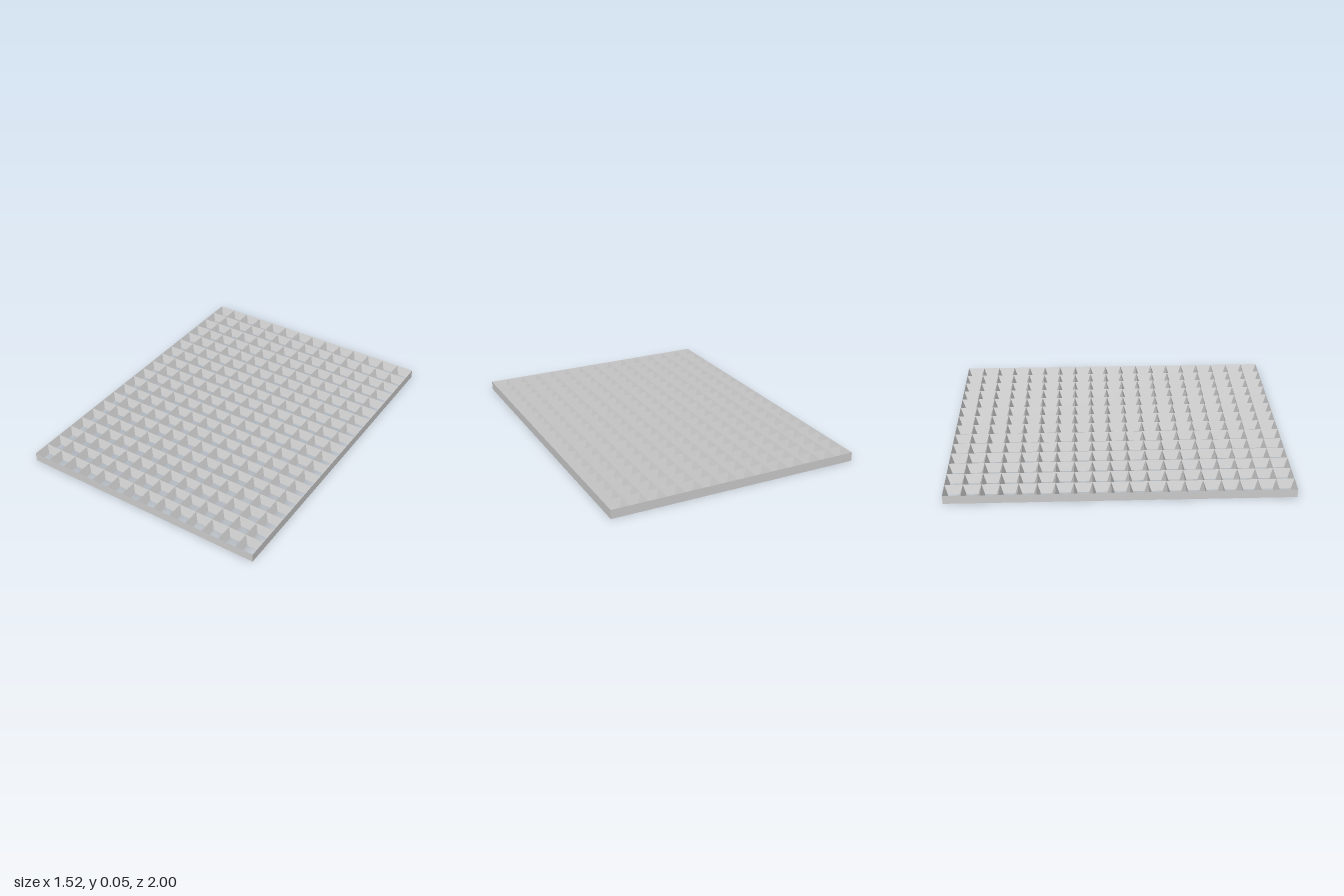
import * as THREE from 'three';

const COLS = 14, ROWS = 19;
const W = 1.518, D = 2, H = 0.053;
const HOLE = 0.033; // half width of the opening at the bottom

// Flat-shaded geometry from quads, corners counter-clockwise seen from outside
function quadGeometry(quads) {
  const pos = [];
  for (const [a, b, c, d] of quads) pos.push(...a, ...b, ...c, ...a, ...c, ...d);
  const g = new THREE.BufferGeometry();
  g.setAttribute('position', new THREE.Float32BufferAttribute(pos, 3));
  g.computeVertexNormals();
  return g;
}

// Corners of a horizontal rectangle, counter-clockwise seen from above
const ring = (cx, cz, hx, hz, y) => [
  [cx - hx, y, cz + hz], [cx + hx, y, cz + hz],
  [cx + hx, y, cz - hz], [cx - hx, y, cz - hz],
];

export function createModel() {
  const group = new THREE.Group();
  const material = new THREE.MeshStandardMaterial({ color: 0xcccccc, flatShading: true });
  const px = W / COLS, pz = D / ROWS;
  const slopes = [], underside = [], rim = [];

  // Each cell is a funnel: full width at the top, narrowing to a small hole
  for (let i = 0; i < COLS; i++) {
    for (let j = 0; j < ROWS; j++) {
      const cx = (i + 0.5) * px - W / 2, cz = (j + 0.5) * pz - D / 2;
      const top = ring(cx, cz, px / 2, pz / 2, H);
      const hole = ring(cx, cz, HOLE, HOLE, 0);
      const base = ring(cx, cz, px / 2, pz / 2, 0);
      for (let k = 0; k < 4; k++) {
        const n = (k + 1) % 4;
        slopes.push([top[k], top[n], hole[n], hole[k]]);
        underside.push([base[n], base[k], hole[k], hole[n]]);
      }
    }
  }

  // Upright outer walls
  const low = ring(0, 0, W / 2, D / 2, 0), high = ring(0, 0, W / 2, D / 2, H);
  for (let k = 0; k < 4; k++) {
    const n = (k + 1) % 4;
    rim.push([low[k], low[n], high[n], high[k]]);
  }

  for (const [name, quads] of Object.entries({ taperedBars: slopes, barUndersides: underside, outerRim: rim })) {
    const mesh = new THREE.Mesh(quadGeometry(quads), material);
    mesh.name = name;
    group.add(mesh);
  }
  group.name = 'gratingPanel';
  return group;
}
